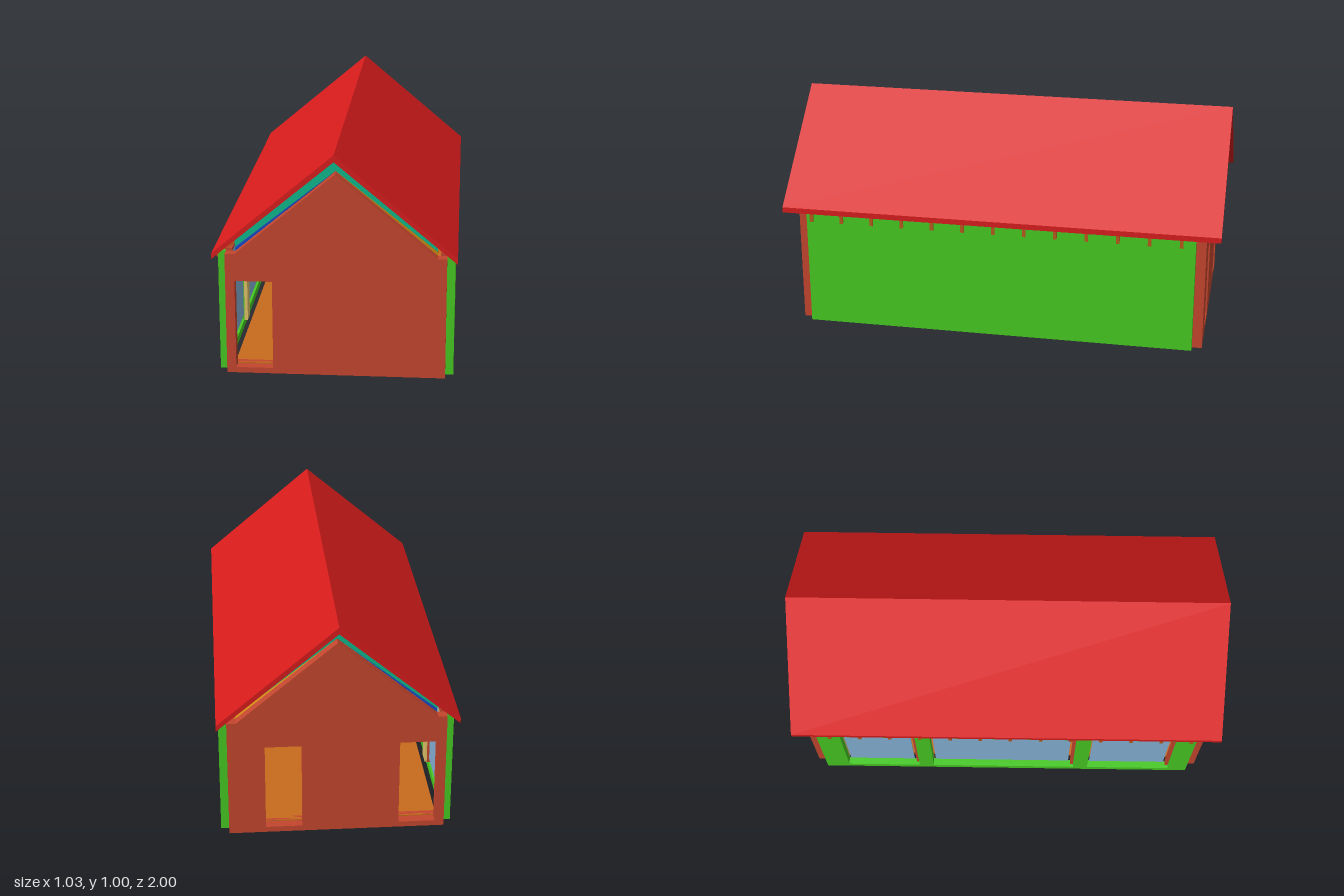
import * as THREE from 'three';

const mat = (color) => new THREE.MeshStandardMaterial({ color, flatShading: true });
const M = {
  roof: mat(0xd81c1c), gable: mat(0xc4462e), wall: mat(0x46c922), insulation: mat(0x0eb88c),
  ceiling: mat(0x1c48c4), timber: mat(0xb85a1c), floor: mat(0xc86a1c), glass: mat(0x86b4d8),
  lining: mat(0xe0c468), goldLining: mat(0xd08a14),
};

export function createModel() {
  const house = new THREE.Group();
  house.name = 'house';

  // Box given by its limits on each axis
  const box = (name, m, x0, x1, y0, y1, z0, z1, parent = house) => {
    const mesh = new THREE.Mesh(new THREE.BoxGeometry(x1 - x0, y1 - y0, z1 - z0), m);
    mesh.position.set((x0 + x1) / 2, (y0 + y1) / 2, (z0 + z1) / 2);
    mesh.name = name;
    parent.add(mesh);
    return mesh;
  };

  // Profile in x/y run from z0 to z1, with rectangular holes [x0, x1, y0, y1]
  const prism = (name, m, points, z0, z1, holes = [], parent = house) => {
    const shape = new THREE.Shape(points.map(([x, y]) => new THREE.Vector2(x, y)));
    for (const [a, b, c, d] of holes) {
      shape.holes.push(new THREE.Path([[a, c], [a, d], [b, d], [b, c]].map(([x, y]) => new THREE.Vector2(x, y))));
    }
    const geo = new THREE.ExtrudeGeometry(shape, { depth: z1 - z0, bevelEnabled: false });
    const mesh = new THREE.Mesh(geo, m);
    mesh.position.z = z0;
    mesh.name = name;
    parent.add(mesh);
    return mesh;
  };
  const flip = (points, s) => points.map(([x, y]) => [x * s, y]);

  // Gable walls with door openings
  const gable = [[-0.47, 0], [0.47, 0], [0.47, 0.54], [0.43, 0.54], [0, 0.9], [-0.43, 0.54], [-0.47, 0.54]];
  const door = [-0.43, -0.27, 0.025, 0.42];
  prism('frontGable', M.gable, gable, 0.89, 0.935, [door]);
  prism('backGable', M.gable, gable, -0.935, -0.89, [door, [0.15, 0.31, 0.025, 0.42]]);

  // Floor and its edge beams
  box('floor', M.floor, -0.44, 0.44, 0.005, 0.03, -0.89, 0.89);
  box('edgeBeam', M.gable, 0.44, 0.47, 0, 0.03, -0.89, 0.89);
  for (const s of [-1, 1]) box('endBeam', M.gable, -0.44, 0.44, 0, 0.03, s * 0.875 - 0.015, s * 0.875 + 0.015);

  // Solid long wall
  box('solidWall', M.wall, 0.47, 0.505, 0, 0.54, -0.89, 0.89);
  box('wallLining', M.goldLining, 0.455, 0.47, 0.03, 0.54, -0.89, 0.89);

  // Glazed long wall: sill, header, posts and three windows
  const glazed = new THREE.Group();
  glazed.name = 'glazedWall';
  house.add(glazed);
  box('sill', M.wall, -0.505, -0.47, 0, 0.035, -0.89, 0.89, glazed);
  box('header', M.wall, -0.505, -0.47, 0.505, 0.54, -0.89, 0.89, glazed);
  const posts = [[-0.89, -0.78], [-0.43, -0.36], [0.33, 0.4], [0.8, 0.89]];
  posts.forEach(([a, b], i) => {
    box('post', M.wall, -0.505, -0.47, 0.035, 0.505, a, b, glazed);
    box('postLining', M.lining, -0.47, -0.455, 0.03, 0.54, a, b, glazed);
    if (i === 3) return;
    const end = posts[i + 1][0];
    box('window', M.glass, -0.48, -0.472, 0.06, 0.48, b + 0.01, end - 0.025, glazed);
    box('jamb', M.gable, -0.49, -0.465, 0.035, 0.505, end - 0.014, end, glazed);
  });

  // Roof covering, insulation, ceilings and wall plates
  const roof = [[0, 1], [0.515, 0.565], [0.515, 0.54], [0, 0.97]];
  const insulation = [[0, 0.97], [0.43, 0.611], [0.43, 0.56], [0, 0.905]];
  for (const s of [-1, 1]) {
    prism('roofSlope', M.roof, flip(roof, s), -1, 1);
    prism('insulation', M.insulation, flip(insulation, s), -0.9, 0.9);
    box('wallPlate', M.gable, s * 0.457 - 0.014, s * 0.457 + 0.014, 0.54, 0.553, -0.89, 0.89);
  }
  prism('ceiling', M.ceiling, [[-0.43, 0.555], [-0.43, 0.54], [-0.02, 0.885], [-0.02, 0.896]], -0.89, 0.89);
  prism('ceiling', M.goldLining, [[0.43, 0.54], [0.43, 0.525], [0, 0.885], [0, 0.9]], -0.89, 0.89);

  // Evenly spaced rafter tails on both eaves
  const tail = [[0.513, 0.541], [0.42, 0.618], [0.42, 0.58], [0.47, 0.54], [0.513, 0.502]];
  for (let i = 0; i < 13; i++) {
    const z = 0.865 - i * 0.141;
    for (const s of [-1, 1]) prism('rafterTail', M.timber, flip(tail, s), z - 0.008, z + 0.008);
  }
  return house;
}
